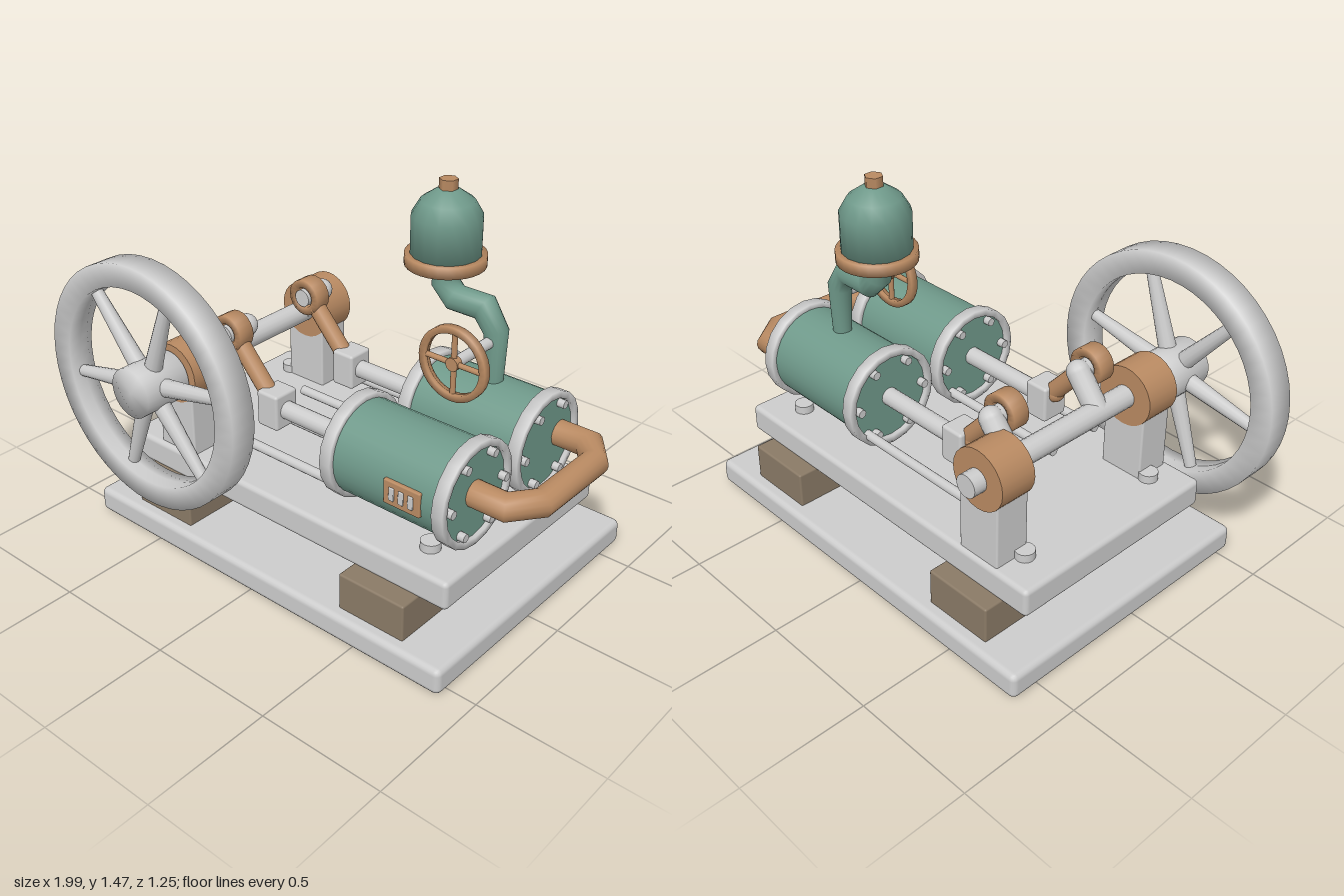
import * as THREE from 'three';
import { mergeVertices } from 'three/addons/utils/BufferGeometryUtils.js';
import { RoundedBoxGeometry } from 'three/addons/geometries/RoundedBoxGeometry.js';

const paint = (name, color) => Object.assign(new THREE.MeshStandardMaterial({ color }), { name });
const V = (x, y, z) => new THREE.Vector3(x, y, z);

export function createModel() {
  const steel = paint('steel', 0xcccccc);
  const green = paint('enamelGreen', 0x6f998a);
  const copper = paint('copper', 0xb98a62);
  const wood = paint('wood', 0x8a7a66);
  const model = new THREE.Group();
  model.name = 'steamEngine';

  const add = (parent, name, geo, mat, x = 0, y = 0, z = 0) => {
    const mesh = new THREE.Mesh(geo, mat);
    mesh.name = name;
    mesh.position.set(x, y, z);
    parent.add(mesh);
    return mesh;
  };
  const group = (name, x = 0, y = 0, z = 0) => {
    const g = new THREE.Group();
    g.name = name;
    g.position.set(x, y, z);
    model.add(g);
    return g;
  };
  // Box given by its limits
  const block = (parent, name, mat, [x0, x1], [y0, y1], [z0, z1], r = 0.008) =>
    add(parent, name, new RoundedBoxGeometry(x1 - x0, y1 - y0, z1 - z0, 2, r), mat,
      (x0 + x1) / 2, (y0 + y1) / 2, (z0 + z1) / 2);
  // Round bar between two points, optionally tapered
  const bar = (parent, name, mat, a, b, r0, r1 = r0, sides = 16) => {
    const d = b.clone().sub(a);
    const mesh = add(parent, name, new THREE.CylinderGeometry(r1, r0, d.length(), sides), mat);
    mesh.position.copy(a).addScaledVector(d, 0.5);
    mesh.quaternion.setFromUnitVectors(V(0, 1, 0), d.normalize());
    return mesh;
  };
  // Ring of rectangular section around the y axis
  const ring = (inner, outer, h, sides) => new THREE.LatheGeometry(
    [[inner, 0], [inner, -h], [outer, -h], [outer, h], [inner, h], [inner, 0]]
      .map(([r, y]) => new THREE.Vector2(r, y / 2)), sides);
  // Same normals across edges, for softly shaded castings
  const soften = (geo) => {
    geo.deleteAttribute('normal');
    geo.deleteAttribute('uv');
    const merged = mergeVertices(geo);
    merged.computeVertexNormals();
    return merged;
  };
  // Mitred pipe along a flat path; n is the normal of the path's plane
  const pipe = (points, radii, n, sides = 16) => {
    const pos = [], index = [];
    points.forEach((p, i) => {
      const before = p.clone().sub(points[Math.max(i - 1, 0)]).normalize();
      const after = points[Math.min(i + 1, points.length - 1)].clone().sub(p).normalize();
      const t = before.clone().add(after).normalize();
      const miter = 1 / Math.max(t.dot(after), t.dot(before));
      const v = t.clone().cross(n);
      for (let j = 0; j < sides; j++) {
        const a = j / sides * Math.PI * 2;
        const q = p.clone().addScaledVector(n, radii[i] * Math.cos(a))
          .addScaledVector(v, radii[i] * Math.sin(a) * miter);
        pos.push(q.x, q.y, q.z);
        if (i === points.length - 1) continue;
        const k = (j + 1) % sides, r = i * sides, s = r + sides;
        index.push(r + j, r + k, s + j, r + k, s + k, s + j);
      }
    });
    const geo = new THREE.BufferGeometry();
    geo.setAttribute('position', new THREE.Float32BufferAttribute(pos, 3));
    geo.setIndex(index);
    geo.computeVertexNormals();
    return geo;
  };

  // Base, timbers and bed
  block(model, 'basePlate', steel, [-0.835, 0.885], [0, 0.105], [-0.622, 0.56], 0.025);
  for (const x of [-0.5, 0.548])
    block(model, 'timber', wood, [x - 0.144, x + 0.144], [0.1, 0.25], [-0.57, 0.51]);
  block(model, 'bed', steel, [-0.76, 0.81], [0.24, 0.355], [-0.495, 0.43], 0.02);
  for (const x of [-0.62, 0.64]) for (const z of [-0.36, 0.295])
    bar(model, 'bedBolt', steel, V(x, 0.35, z), V(x, 0.388, z), 0.038);

  // Crankshaft and its bearings
  const SX = -0.51, SY = 0.685;
  bar(model, 'crankshaft', steel, V(SX, SY, -0.535), V(SX, SY, 0.5), 0.045);
  for (const z of [-0.405, 0.337]) {
    block(model, 'bearingPost', steel, [SX - 0.093, SX + 0.093], [0.34, 0.66], [z - 0.073, z + 0.073]);
    bar(model, 'bearing', copper, V(SX, SY, z - 0.076), V(SX, SY, z + 0.076), 0.12, 0.12, 24);
  }

  // Flywheel
  const wheel = group('flywheel', SX, SY, 0.53);
  add(wheel, 'flywheelRim', ring(0.4, 0.492, 0.108, 48), steel).rotation.x = Math.PI / 2;
  add(wheel, 'flywheelHub', soften(new THREE.CylinderGeometry(0.1, 0.1, 0.2, 24)), steel, 0, 0, -0.005)
    .rotation.x = Math.PI / 2;
  for (let i = 0; i < 6; i++) {
    const a = (11 + i * 60) * Math.PI / 180, c = Math.cos(a), s = Math.sin(a);
    bar(wheel, 'flywheelSpoke', steel, V(c * 0.07, s * 0.07, 0), V(c * 0.42, s * 0.42, 0), 0.036, 0.023, 12);
  }

  // Two cylinders with their running gear
  const CY = 0.567;
  for (const [z, side] of [[0.185, -1], [-0.25, -1]]) {
    const g = group('cylinderUnit', 0, 0, z);
    bar(g, 'cylinder', green, V(0.225, CY, 0), V(0.735, CY, 0), 0.182, 0.182, 32);
    for (const [x, out] of [[0.232, -1], [0.727, 1]]) {
      add(g, 'flange', ring(0.176, 0.204, 0.047, 20), steel, x, CY, 0).rotation.z = Math.PI / 2;
      for (let i = 0; i < 6; i++) {
        const a = i * Math.PI / 3, y = CY + 0.155 * Math.sin(a), bz = 0.155 * Math.cos(a);
        bar(g, 'flangeBolt', steel, V(x, y, bz), V(x + out * 0.037, y, bz), 0.017, 0.017, 8);
      }
    }
    bar(g, 'pistonRod', steel, V(-0.15, CY, 0), V(0.24, CY, 0), 0.036);
    for (const gz of [-0.115, 0.115])
      bar(g, 'guideRod', steel, V(-0.345, 0.443, gz), V(0.24, 0.443, gz), 0.019, 0.019, 12);
    block(g, 'crosshead', steel, [-0.238, -0.135], [0.492, 0.64], [-0.058, 0.058], 0.012);

    // Connecting rod, crank pin and web
    const px = -0.41, py = 0.81;
    add(g, 'rodBigEnd', ring(0.042, 0.075, 0.07, 20), copper, px, py, 0).rotation.x = Math.PI / 2;
    bar(g, 'connectingRod', copper, V(px + 0.04, py - 0.042, 0), V(-0.215, 0.595, 0), 0.036);
    add(g, 'rodSmallEnd', new THREE.SphereGeometry(0.037, 16, 10), copper, -0.235, 0.605, 0);
    bar(g, 'crankPin', steel, V(px, py, side * 0.08), V(px, py, 0.045), 0.036);
    const web = add(g, 'crankWeb', new THREE.CapsuleGeometry(0.045, 0.16, 6, 14), steel,
      (SX + px) / 2, (SY + py) / 2, side * 0.073);
    web.rotation.z = -Math.atan2(px - SX, py - SY);
  }

  // Pipe joining the cylinder ends
  const bend = [[0.735, 0.185], [0.865, 0.185], [0.942, 0.085], [0.942, -0.245], [0.865, -0.345], [0.735, -0.345]]
    .map(([x, z]) => V(x, CY, z));
  add(model, 'crossoverPipe', pipe(bend, bend.map(() => 0.051), V(0, 1, 0)), copper);

  // Swan-neck pipe and dome on the rear cylinder
  const NZ = -0.248;
  const neck = [[0.5, 0.72], [0.5, 0.94], [0.445, 1.02], [0.315, 1.02], [0.265, 1.07], [0.265, 1.17]]
    .map(([x, y]) => V(x, y, NZ));
  add(model, 'neckPipe', pipe(neck, [0.036, 0.046, 0.05, 0.05, 0.05, 0.05], V(0, 0, 1)), green);
  const dome = group('dome', 0.263, 0, NZ);
  const profile = [[0, 1.165], [0.132, 1.165], [0.132, 1.33], [0.1, 1.385], [0.04, 1.427], [0, 1.427]]
    .map(([r, y]) => new THREE.Vector2(r, y));
  add(dome, 'domeShell', new THREE.LatheGeometry(profile, 16), green);
  add(dome, 'domeRing', ring(0.112, 0.152, 0.044, 28), copper, 0, 1.162, 0);
  bar(dome, 'domeFinial', copper, V(0, 1.42, 0), V(0, 1.465, 0), 0.035, 0.035, 6);

  // Valve handwheel
  const valve = group('handwheel', 0.495, 0.908, 0);
  bar(valve, 'valveStem', steel, V(0, 0, NZ), V(0, 0, 0), 0.022);
  add(valve, 'handwheelRim', ring(0.117, 0.143, 0.03, 32), copper).rotation.x = Math.PI / 2;
  bar(valve, 'handwheelHub', copper, V(0, 0, -0.015), V(0, 0, 0.015), 0.026);
  bar(valve, 'handwheelSpoke', copper, V(-0.125, 0, 0), V(0.125, 0, 0), 0.011, 0.011, 10);
  bar(valve, 'handwheelSpoke', copper, V(0, -0.125, 0), V(0, 0.125, 0), 0.011, 0.011, 10);

  // Gauge plate on the front cylinder
  block(model, 'gaugePlate', copper, [0.487, 0.645], [0.517, 0.615], [0.345, 0.374], 0.006);
  for (const x of [0.525, 0.566, 0.607])
    block(model, 'gaugeSlot', steel, [x - 0.011, x + 0.011], [0.54, 0.592], [0.37, 0.379], 0.003);

  return model;
}
